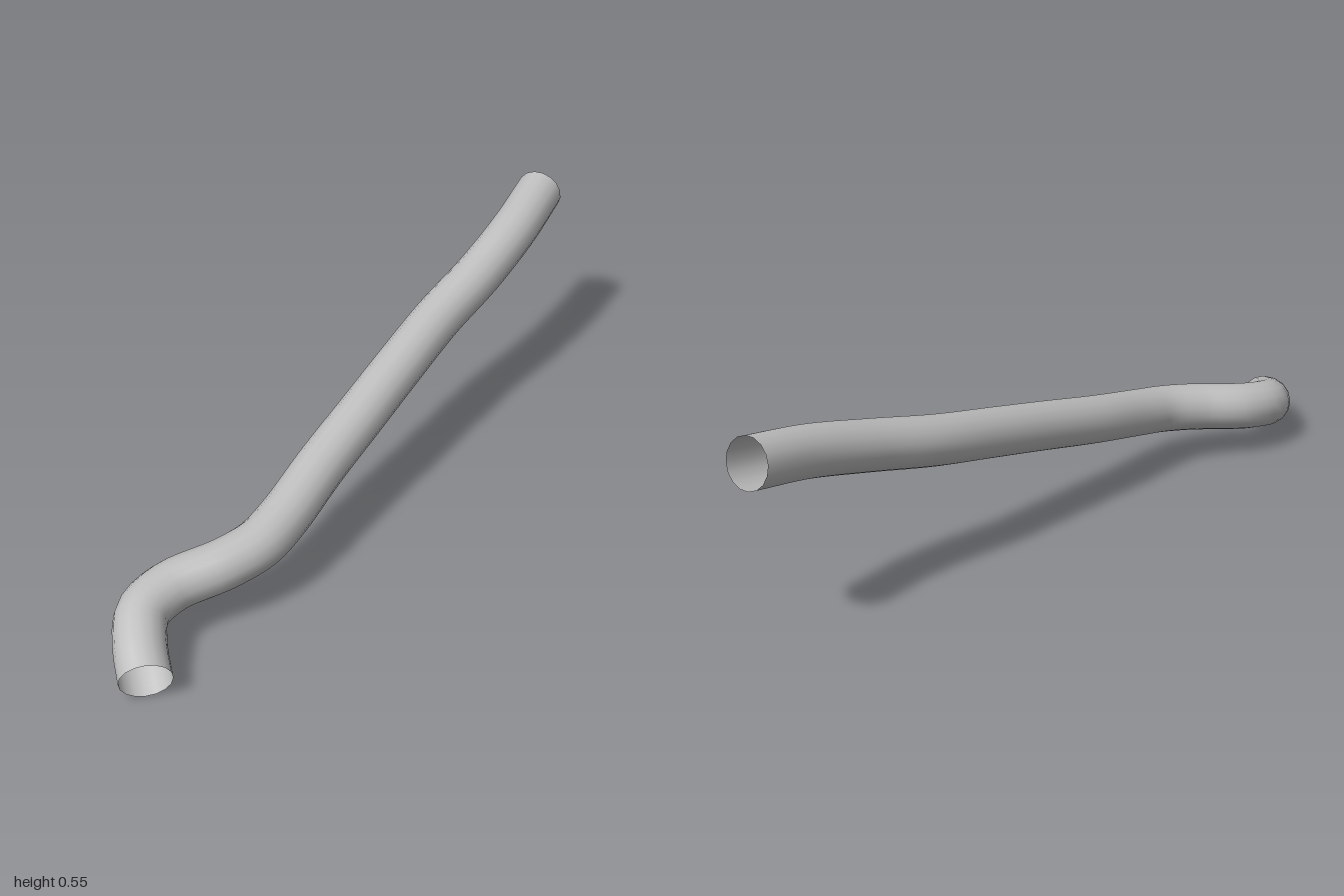
import * as THREE from 'three';

export function createModel() {
  const group = new THREE.Group();
  group.name = 'bentPipe';

  const greyMetal = new THREE.MeshStandardMaterial({ color: 0xc0c0c0, side: THREE.DoubleSide });
  greyMetal.name = 'greyMetal';

  // Centre line from the hooked front end to the raised back end
  const path = new THREE.CatmullRomCurve3([
    [-0.1, 0.063, 0.961],
    [-0.152, 0.094, 0.885],
    [-0.188, 0.121, 0.8],
    [-0.165, 0.138, 0.705],
    [-0.075, 0.155, 0.59],
    [-0.025, 0.168, 0.5],
    [-0.004, 0.186, 0.4],
    [0.016, 0.229, 0.2],
    [0.044, 0.274, 0],
    [0.071, 0.318, -0.2],
    [0.1, 0.361, -0.4],
    [0.145, 0.408, -0.6],
    [0.176, 0.456, -0.8],
    [0.186, 0.492, -0.989],
  ].map((p) => new THREE.Vector3(...p)));

  // Open-ended thin pipe
  const pipe = new THREE.Mesh(new THREE.TubeGeometry(path, 72, 0.065, 16, false), greyMetal);
  pipe.name = 'pipe';
  group.add(pipe);

  return group;
}
